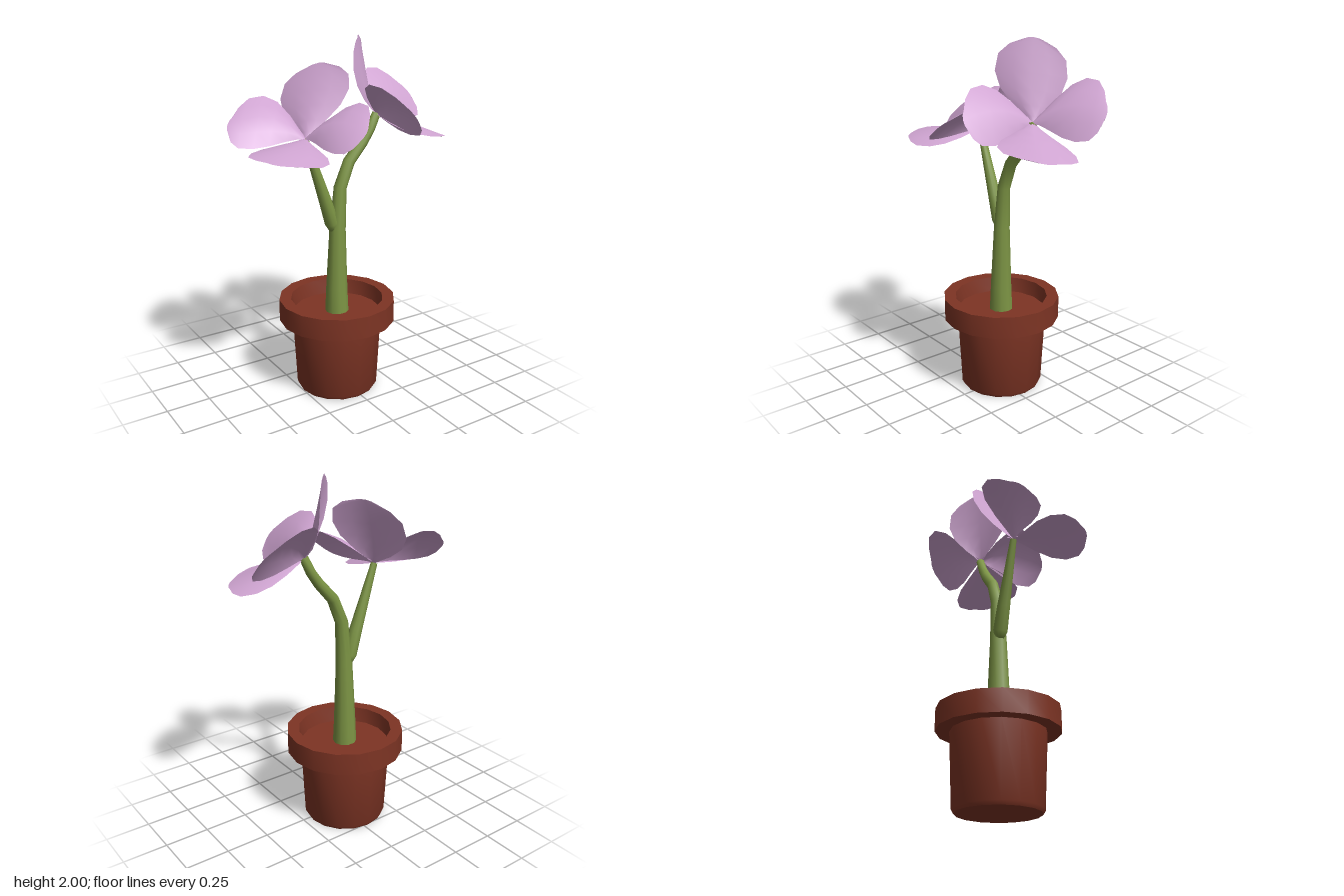
import * as THREE from 'three';
import { mergeVertices, toCreasedNormals } from 'three/addons/utils/BufferGeometryUtils.js';

const V = (a) => new THREE.Vector3(...a);
const material = (color, side = THREE.FrontSide) => new THREE.MeshStandardMaterial({ color, side });

// Turns a grid of points (rows of equal length) into a smooth surface
function gridSurface(rows) {
  const n = rows[0].length, index = [];
  for (let i = 0; i < rows.length - 1; i++) {
    for (let j = 0; j < n - 1; j++) {
      const a = i * n + j, b = a + n;
      index.push(a, a + 1, b, a + 1, b + 1, b);
    }
  }
  const grid = new THREE.BufferGeometry().setFromPoints(rows.flat());
  grid.setIndex(index);
  const geometry = mergeVertices(grid, 1e-5);
  geometry.computeVertexNormals();
  return geometry;
}

// Tapered stalk: each station is [x, y, radius], all at the same depth z
function stalk(stations, z, sides = 10) {
  const rows = stations.map(([x, y, r], i) => {
    const p = stations[Math.max(i - 1, 0)], q = stations[Math.min(i + 1, stations.length - 1)];
    const dir = new THREE.Vector2(q[0] - p[0], q[1] - p[1]).normalize();
    return Array.from({ length: sides + 1 }, (_, j) => {
      const a = -((j % sides) / sides) * Math.PI * 2;
      const across = Math.cos(a) * r;
      return new THREE.Vector3(x + dir.y * across, y - dir.x * across, z + Math.sin(a) * r);
    });
  });
  return gridSurface(rows);
}

// Position along the petal and half width there, from base to tip
const PETAL_OUTLINE = [
  [0, 0.05], [0.1, 0.2], [0.25, 0.5], [0.45, 0.84], [0.65, 1], [0.84, 0.93], [0.95, 0.64], [1, 0.33],
];

// Petal spanned by its base, tip and two widest edge points, arched towards the flower's axis
function petal(base, tip, edgeA, edgeB, axis) {
  const along = tip.clone().sub(base);
  const half = edgeB.clone().sub(edgeA).multiplyScalar(0.5);
  const bend = edgeA.clone().add(edgeB).multiplyScalar(0.5).sub(base).addScaledVector(along, -0.65);
  const normal = along.clone().cross(half).normalize();
  if (normal.dot(axis) < 0) normal.negate();
  const rows = PETAL_OUTLINE.map(([t, w]) => {
    const hump = (t * (1 - t)) / 0.2275;
    return [-1, -0.5, 0, 0.5, 1].map((s) => base.clone()
      .addScaledVector(along, t - 0.04 * s * s * t * t)
      .addScaledVector(half, w * s)
      .addScaledVector(bend, hump)
      .addScaledVector(normal, 0.035 * (1 - s * s) * hump));
  });
  return gridSurface(rows);
}

// Each flower: centre, facing axis, petals as [tip, edge, edge]
const FLOWERS = [
  {
    name: 'rightFlower', centre: [-0.215, 1.485, -0.035], axis: [-0.34, 0.52, 0.39],
    petals: [
      [[-0.585, 1.57, -0.19], [-0.33, 1.69, -0.29], [-0.52, 1.465, -0.05]],
      [[-0.52, 1.435, 0.245], [-0.555, 1.455, 0.01], [-0.26, 1.415, 0.28]],
      [[-0.07, 1.56, 0.325], [-0.215, 1.46, 0.25], [0.05, 1.67, 0.09]],
      [[-0.06, 1.86, -0.15], [-0.22, 1.67, -0.29], [0.03, 1.74, 0.01]],
    ],
  },
  {
    name: 'leftFlower', centre: [0.235, 1.58, -0.035], axis: [0.56, 0.45, 0.385],
    petals: [
      [[0.585, 1.66, -0.215], [0.36, 1.8, -0.3], [0.52, 1.52, -0.075]],
      [[0.57, 1.45, 0.165], [0.545, 1.45, -0.055], [0.31, 1.5, 0.255]],
      [[0.19, 1.63, 0.37], [0.06, 1.77, 0.16], [0.27, 1.5, 0.24]],
      [[0.16, 2, -0.1], [0.03, 1.84, 0.05], [0.28, 1.8, -0.23]],
    ],
  },
];

export function createModel() {
  const group = new THREE.Group();
  const clay = material(0x7d3424);
  const green = material(0x7c9444, THREE.DoubleSide);
  const pink = material(0xd0a5d2, THREE.DoubleSide);
  const add = (name, geometry, mat, parent = group) => {
    const mesh = new THREE.Mesh(geometry, mat);
    mesh.name = name;
    parent.add(mesh);
    return mesh;
  };

  // Pot with overhanging rim and the soil level inside
  const profile = [
    [0, 0], [0.225, 0], [0.236, 0.02], [0.256, 0.42], [0.332, 0.42],
    [0.332, 0.545], [0.265, 0.545], [0.25, 0.46], [0, 0.46],
  ].map(([r, y]) => new THREE.Vector2(r, y));
  const pot = add('pot', toCreasedNormals(new THREE.LatheGeometry(profile, 16), 0.9), clay);
  pot.position.set(-0.022, 0, -0.035);

  // Main stem bends to one flower, the branch carries the other
  add('stem', stalk([
    [-0.022, 0.44, 0.068], [-0.022, 0.6, 0.061], [-0.016, 0.95, 0.046], [0.002, 1.19, 0.036],
    [0.06, 1.33, 0.033], [0.15, 1.43, 0.03], [0.2, 1.5, 0.027], [0.24, 1.58, 0.024], [0.24, 1.581, 0.001],
  ], -0.035), green);
  add('branch', stalk([
    [-0.038, 0.935, 0.004], [-0.04, 0.95, 0.026], [-0.05, 0.99, 0.04],
    [-0.09, 1.12, 0.036], [-0.215, 1.485, 0.018], [-0.216, 1.486, 0.001],
  ], -0.04), green);

  // Flowers
  for (const { name, centre, axis, petals } of FLOWERS) {
    const flower = new THREE.Group();
    flower.name = name;
    group.add(flower);
    for (const [tip, edgeA, edgeB] of petals) {
      add('petal', petal(V(centre), V(tip), V(edgeA), V(edgeB), V(axis)), pink, flower);
    }
  }
  return group;
}
